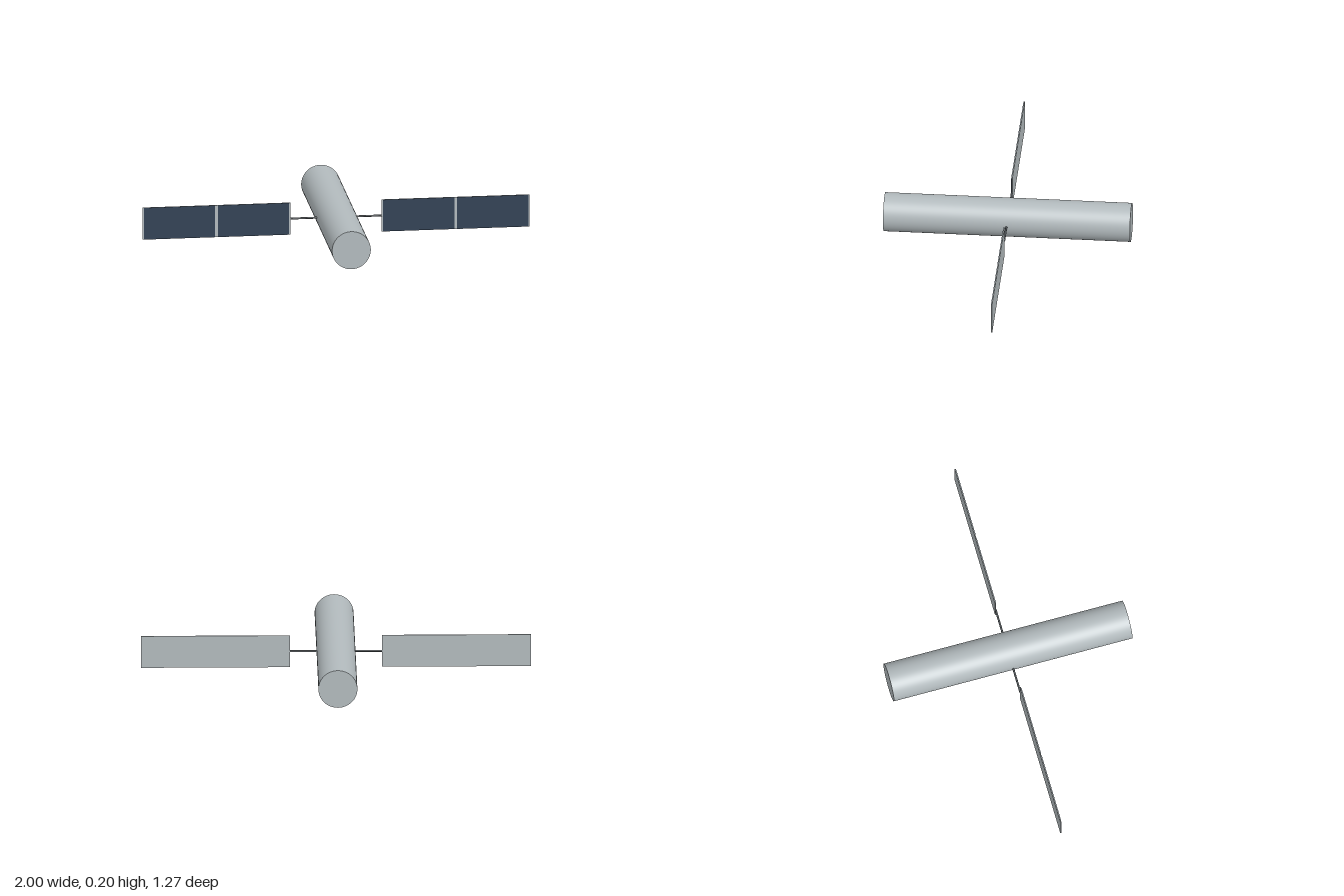
import * as THREE from 'three';

export function createModel() {
  const model = new THREE.Group();
  model.name = 'satellite';

  const hull = new THREE.MeshStandardMaterial({ name: 'hull grey', color: 0xb2babd });
  const cell = new THREE.MeshStandardMaterial({ name: 'solar cell navy', color: 0x314154 });
  const metal = new THREE.MeshStandardMaterial({ name: 'dark metal', color: 0x5a6064 });

  const RADIUS = 0.1, LENGTH = 1.27;         // body
  const INNER = 0.236, OUTER = 1;            // panel span along x
  const HEIGHT = 0.17, THICK = 0.005;        // panel section
  const GAP = 0.014, MARGIN = 0.007;         // frame strips between and beside the cells

  function add(parent, name, geometry, material, x, y, z) {
    const mesh = new THREE.Mesh(geometry, material);
    mesh.name = name;
    mesh.position.set(x, y, z);
    parent.add(mesh);
    return mesh;
  }

  // Main cylindrical body, lying along z
  const bodyGeometry = new THREE.CylinderGeometry(RADIUS, RADIUS, LENGTH, 64).rotateX(Math.PI / 2);
  add(model, 'body', bodyGeometry, hull, 0, RADIUS, 0);

  // One solar wing on each side
  const span = OUTER - INNER;
  const cellWidth = (span - GAP - 2 * MARGIN) / 2;
  for (const side of [-1, 1]) {
    const wing = new THREE.Group();
    wing.name = side > 0 ? 'leftWing' : 'rightWing';
    wing.position.y = RADIUS;
    model.add(wing);

    // Boom from the body to the panel
    const boomStart = RADIUS - 0.01;
    const boomGeometry = new THREE.CylinderGeometry(0.005, 0.005, INNER - boomStart, 16).rotateZ(Math.PI / 2);
    add(wing, 'boom', boomGeometry, metal, side * (boomStart + INNER) / 2, 0, 0);

    // Backing panel
    const middle = (INNER + OUTER) / 2;
    add(wing, 'panel', new THREE.BoxGeometry(span, HEIGHT, THICK), hull, side * middle, 0, 0);

    // Two cell plates on the front face
    for (const half of [-1, 1]) {
      const x = side * middle + half * (GAP + cellWidth) / 2;
      add(wing, 'solarCells', new THREE.BoxGeometry(cellWidth, HEIGHT - 0.002, 0.002), cell, x, 0, THICK / 2 + 0.0005);
    }
  }

  return model;
}
